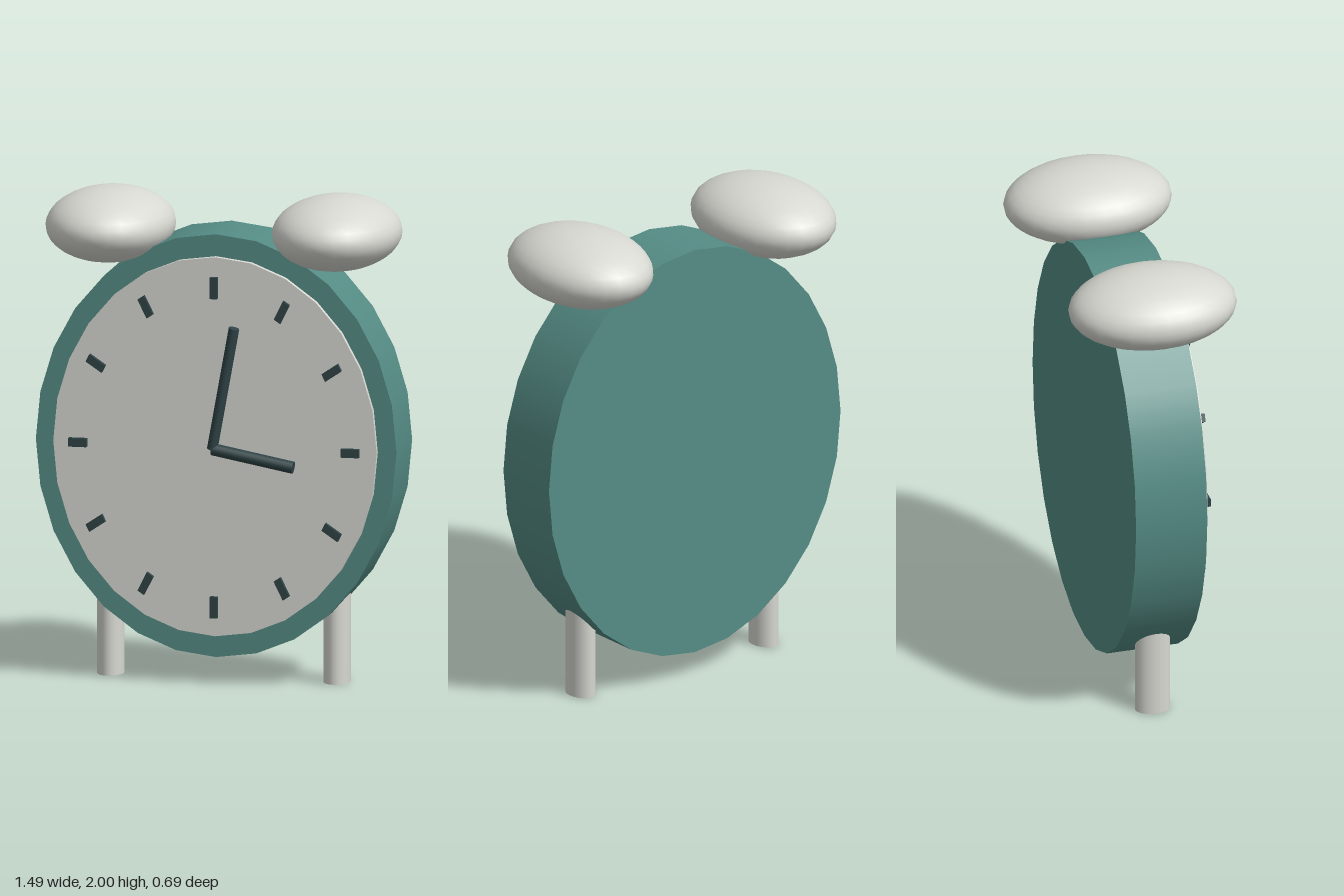
import * as THREE from 'three';

export function createModel() {
  const model = new THREE.Group();
  model.name = 'alarmClock';

  const makeMaterial = (name, color) => {
    const m = new THREE.MeshStandardMaterial({ color });
    m.name = name;
    return m;
  };
  const teal = makeMaterial('teal', 0x558c85);
  const offWhite = makeMaterial('offWhite', 0xd8d8d2);
  const dark = makeMaterial('darkSlate', 0x2f4346);

  const add = (parent, name, geometry, material, x = 0, y = 0, z = 0) => {
    const mesh = new THREE.Mesh(geometry, material);
    mesh.name = name;
    mesh.position.set(x, y, z);
    parent.add(mesh);
    return mesh;
  };

  // Round clock parts share one group that is narrowed into an oval
  const clock = new THREE.Group();
  clock.name = 'clock';
  clock.position.y = 0.98;
  clock.scale.x = 0.857;
  model.add(clock);

  const disc = (radius, depth) =>
    new THREE.CylinderGeometry(radius, radius, depth, 28).rotateX(Math.PI / 2);
  add(clock, 'case', disc(0.87, 0.3), teal);
  add(clock, 'dial', disc(0.78, 0.024), offWhite, 0, 0, 0.162);

  // Twelve hour marks, just in front of the dial
  for (let i = 0; i < 12; i++) {
    const a = (i / 12) * Math.PI * 2;
    const mark = add(clock, 'hourMark', new THREE.BoxGeometry(0.035, 0.088, 0.021), dark,
      0.657 * Math.sin(a), 0.657 * Math.cos(a), 0.196);
    mark.rotation.z = -a;
  }

  // Rod-shaped hands running from the centre to a tip
  const addHand = (name, tipX, tipY) => {
    const length = Math.hypot(tipX, tipY);
    const rod = new THREE.CylinderGeometry(0.025, 0.025, length, 16);
    rod.scale(1, 1, 1.16).translate(0, length / 2, 0);
    add(clock, name, rod, dark, 0, 0, 0.225).rotation.z = -Math.atan2(tipX, tipY);
  };
  addHand('minuteHand', 0.105, 0.5);
  addHand('hourHand', 0.391, -0.063);

  // Bells and legs, mirrored
  for (const [side, s] of [['left', 1], ['right', -1]]) {
    const bell = new THREE.SphereGeometry(1, 28, 18).scale(0.26, 0.15, 0.347);
    add(model, side + 'Bell', bell, offWhite, s * 0.468, 1.85, 0);
    const leg = new THREE.CylinderGeometry(1, 1, 0.42, 20).scale(0.054, 1, 0.073);
    add(model, side + 'Leg', leg, offWhite, s * 0.468, 0.21, 0);
  }

  return model;
}
